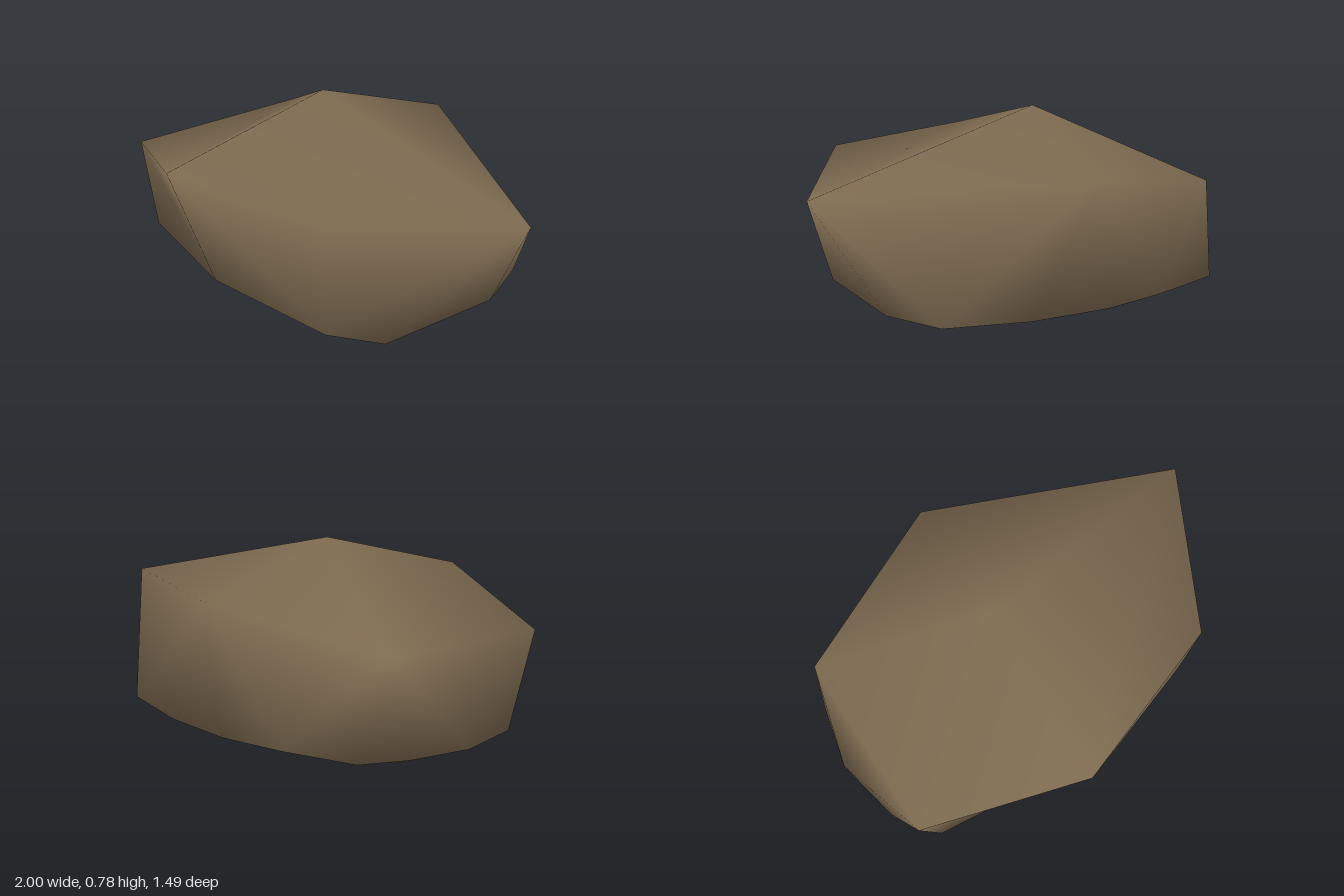
import * as THREE from 'three';

// Corners of the rock, each [x, y, z]; rings run counterclockwise seen from above
const PEAK = [-0.11, 0.78, -0.05];
const BASE = [-0.1, 0.005, 0];

const SHOULDER = [
  [0.33, 0.575, 0.74], [1, 0.51, 0.26], [0.2, 0.57, -0.61],
  [-0.62, 0.425, -0.66], [-1, 0.41, 0.12], [-0.47, 0.58, 0.65],
];

const FOOT = [
  [0.31, 0.05, 0.7], [0.53, 0.01, 0.59], [0.77, 0.01, 0.06],
  [0.76, 0.01, -0.23], [0.45, 0, -0.45], [0.13, 0.003, -0.615],
  [-0.17, 0.005, -0.69], [-0.52, 0.01, -0.745], [-0.69, 0.012, -0.62],
  [-0.87, 0.015, -0.4], [-0.95, 0.015, -0.09], [-0.905, 0.015, 0.15],
  [-0.35, 0.025, 0.5],
];

// Crown facets as shoulder numbers, P being the peak
const P = -1;
const CROWN = [[P, 5, 1], [5, 0, 1], [P, 3, 5], [3, 4, 5], [P, 2, 3], [P, 1, 2]];

// Last foot corner reached by the wall under each shoulder
const WALL_ENDS = [0, 3, 6, 9, 12, 13];

function rockGeometry() {
  const corners = [PEAK, ...SHOULDER, ...FOOT, BASE];
  const shoulder = (i) => 1 + (i === P ? P : i % SHOULDER.length);
  const foot = (i) => 1 + SHOULDER.length + (i % FOOT.length);
  const base = corners.length - 1;

  const index = CROWN.flat().map(shoulder);

  // Walls: a fan from each shoulder to its feet, then a facet to the next shoulder
  let f = 0;
  WALL_ENDS.forEach((end, s) => {
    for (; f < end; f++) index.push(foot(f), foot(f + 1), shoulder(s));
    index.push(shoulder(s), foot(end), shoulder(s + 1));
  });

  // Underside
  FOOT.forEach((_, i) => index.push(base, foot(i + 1), foot(i)));

  const geometry = new THREE.BufferGeometry();
  geometry.setAttribute('position', new THREE.Float32BufferAttribute(corners.flat(), 3));
  geometry.setIndex(index);
  geometry.computeVertexNormals();
  return geometry;
}

export function createModel() {
  const group = new THREE.Group();
  group.name = 'rock';

  const stone = new THREE.MeshStandardMaterial({ color: 0x7d6a50 });
  stone.name = 'brown stone';

  const boulder = new THREE.Mesh(rockGeometry(), stone);
  boulder.name = 'boulder';
  group.add(boulder);
  return group;
}
